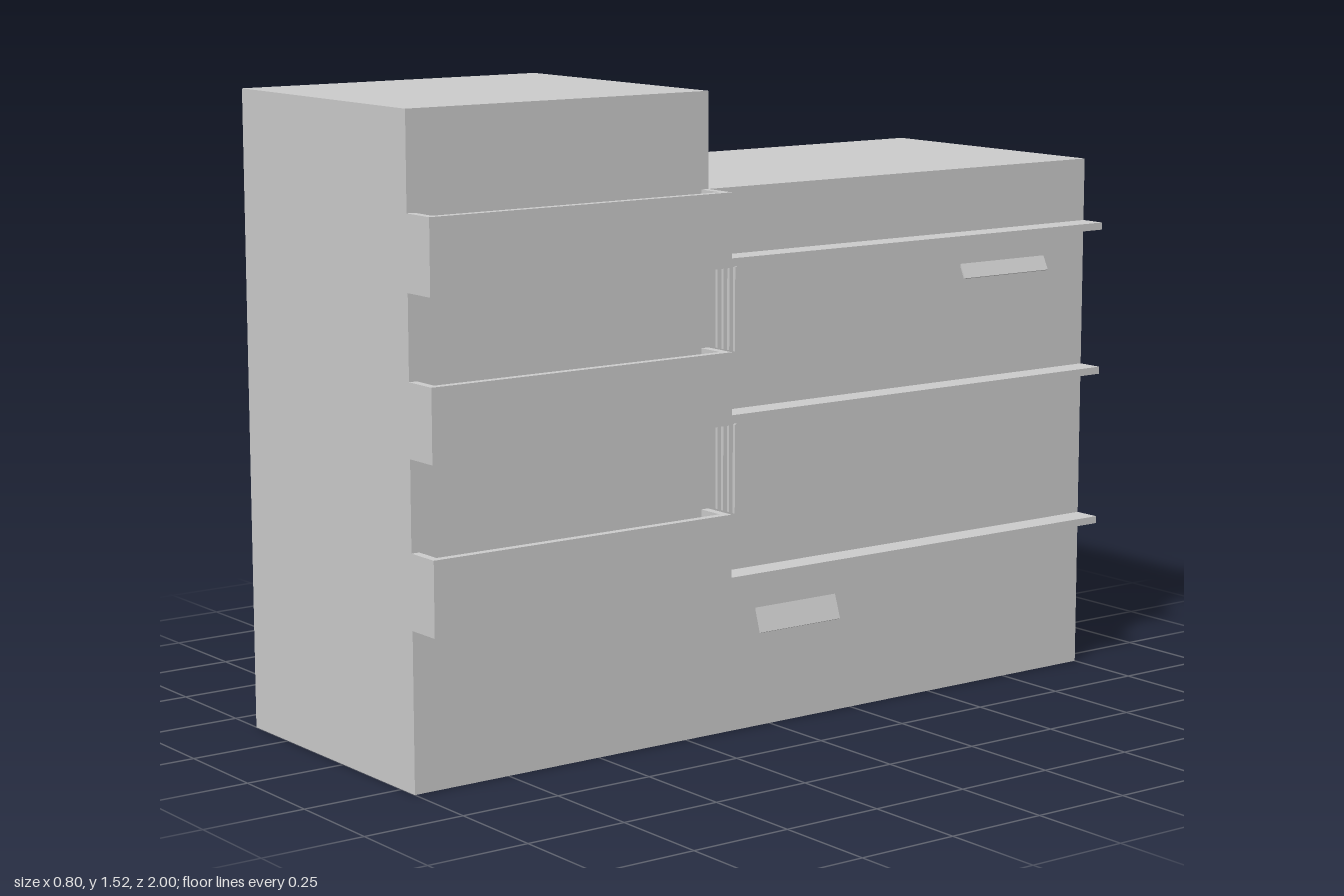
import * as THREE from 'three';

const material = new THREE.MeshStandardMaterial({ color: 0xcccccc, flatShading: true });

const WALL = 0.305;   // x of the facade
const SPLIT = 0.185;  // z where the tall block meets the low block
const LEVELS = [0.373, 0.757, 1.122]; // underside of each floor's slab
const RIMS = [0.547, 0.927, 1.295];   // top of each balcony parapet

// Box given by its min and max corners
function box(name, [x0, y0, z0], [x1, y1, z1]) {
  const mesh = new THREE.Mesh(new THREE.BoxGeometry(x1 - x0, y1 - y0, z1 - z0), material);
  mesh.position.set((x0 + x1) / 2, (y0 + y1) / 2, (z0 + z1) / 2);
  mesh.name = name;
  return mesh;
}

// Open-topped balcony: floor slab plus a three-sided parapet
function balcony(y0, y1) {
  const group = new THREE.Group();
  group.name = 'balcony';
  const out = 0.395, t = 0.02, slab = 0.018;
  group.add(box('balconyFloor', [WALL, y0, SPLIT], [out, y0 + slab, 1]));
  // U-shaped plan, drawn as (x, -z) and raised along y
  const plan = new THREE.Shape([
    [WALL, -1], [out, -1], [out, -SPLIT], [WALL, -SPLIT],
    [WALL, -SPLIT - t], [out - t, -SPLIT - t], [out - t, t - 1], [WALL, t - 1],
  ].map(([x, y]) => new THREE.Vector2(x, y)));
  const geometry = new THREE.ExtrudeGeometry(plan, { depth: y1 - y0 - slab, bevelEnabled: false });
  geometry.rotateX(-Math.PI / 2);
  const parapet = new THREE.Mesh(geometry, material);
  parapet.position.y = y0 + slab;
  parapet.name = 'balconyParapet';
  group.add(parapet);
  return group;
}

// Thin plate leaning out from the facade
function awning(yLow, yHigh, z0, z1, reach) {
  const t = 0.004;
  const profile = new THREE.Shape([
    new THREE.Vector2(WALL - 0.002, yHigh - t * 2),
    new THREE.Vector2(WALL + reach - t, yLow),
    new THREE.Vector2(WALL + reach, yLow + t / 2),
    new THREE.Vector2(WALL - 0.002, yHigh),
  ]);
  const mesh = new THREE.Mesh(
    new THREE.ExtrudeGeometry(profile, { depth: z1 - z0, bevelEnabled: false }), material);
  mesh.position.z = z0;
  mesh.name = 'awning';
  return mesh;
}

export function createModel() {
  const model = new THREE.Group();
  model.name = 'building';

  // Main blocks
  model.add(box('tallBlock', [-0.4, 0, SPLIT], [WALL, 1.52, 1]));
  model.add(box('lowBlock', [-0.4, 0, -1], [WALL, 1.295, SPLIT]));

  // Balconies on the tall block, ledges along the low block
  LEVELS.forEach((y, i) => {
    model.add(balcony(y, RIMS[i]));
    model.add(box('ledge', [WALL, y, -1], [0.372, y + 0.018, SPLIT]));
  });

  // Vertical bars closing the balcony ends between floors
  for (let i = 0; i < 2; i++) {
    for (let j = 0; j < 4; j++) {
      const x = 0.321 + j * 0.022;
      model.add(box('screenBar', [x - 0.004, RIMS[i], 0.165], [x + 0.004, LEVELS[i + 1], 0.173]));
    }
  }

  // Awnings
  model.add(awning(0.23, 0.295, -0.2, 0.043, 0.02));
  model.add(awning(1.025, 1.065, -0.865, -0.59, 0.017));

  return model;
}
